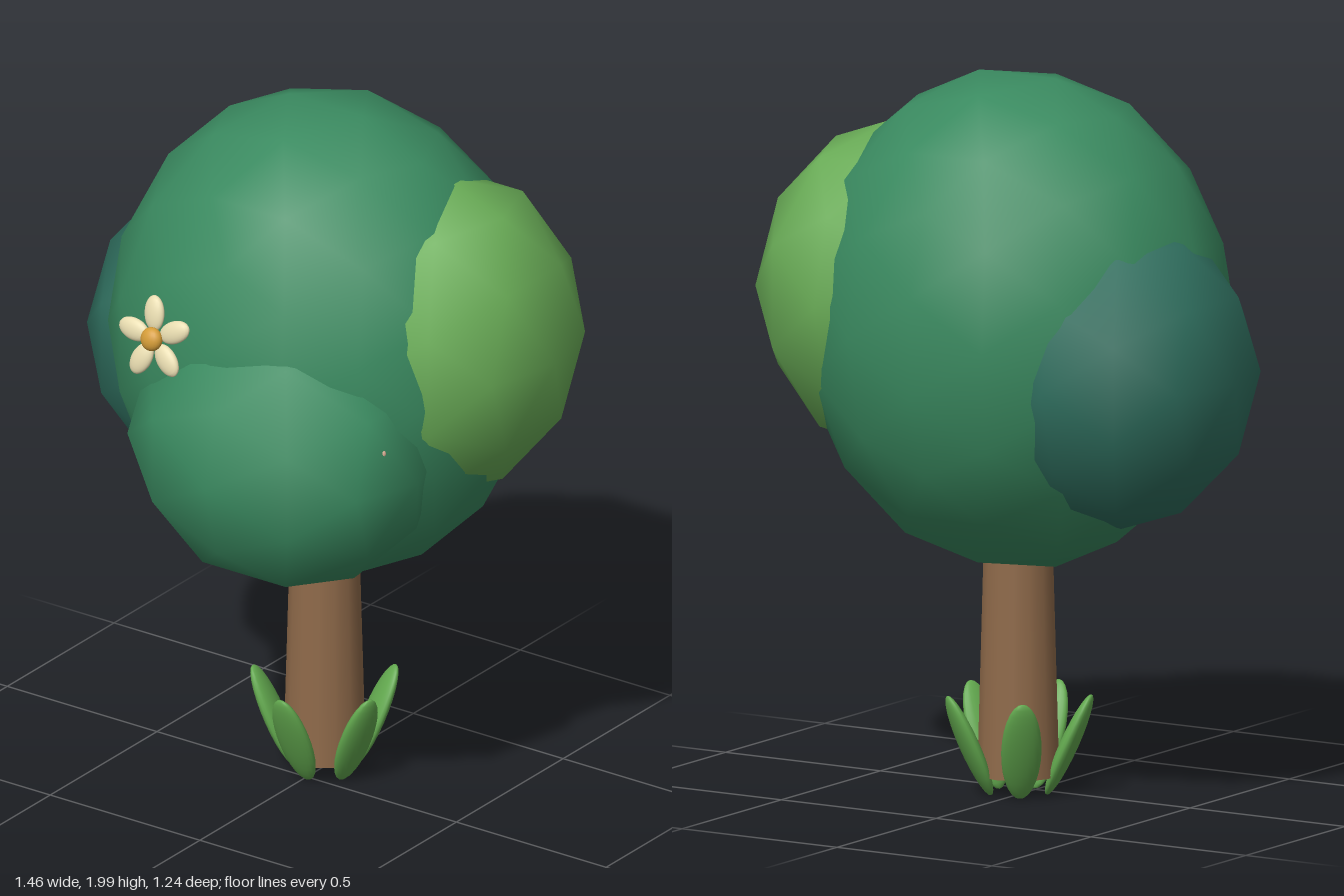
import * as THREE from 'three';

const paint = (name, color) => {
  const m = new THREE.MeshStandardMaterial({ color });
  m.name = name;
  return m;
};

export function createModel() {
  const mats = {
    crown: paint('crownGreen', 0x3a8a60),
    lime: paint('limeGreen', 0x6aad57),
    teal: paint('deepTeal', 0x2f6e5e),
    bark: paint('barkBrown', 0x8f6a4a),
    leaf: paint('leafGreen', 0x62a84e),
    petal: paint('petalCream', 0xe8dcb0),
    core: paint('flowerGold', 0xd49c38),
    bud: paint('budPink', 0xe2b49a),
  };
  const model = new THREE.Group();
  model.name = 'tree';

  const add = (parent, name, geometry, material, position, scale = [1, 1, 1]) => {
    const mesh = new THREE.Mesh(geometry, material);
    mesh.name = name;
    mesh.position.set(...position);
    mesh.scale.set(...scale);
    parent.add(mesh);
    return mesh;
  };

  // Foliage: smooth-shaded stretched icospheres
  const bigBlob = new THREE.IcosahedronGeometry(1, 2);
  const smallBlob = new THREE.IcosahedronGeometry(1, 1);
  add(model, 'mainCrown', bigBlob, mats.crown, [0.01, 1.322, -0.075], [0.61, 0.69, 0.556]);
  add(model, 'leftFoliage', smallBlob, mats.lime, [0.36, 1.39, -0.14], [0.37, 0.46, 0.414]);
  add(model, 'rightFoliage', smallBlob, mats.teal, [-0.36, 1.22, -0.13], [0.37, 0.435, 0.405]);
  add(model, 'frontFoliage', smallBlob, mats.crown, [0.1, 1.13, 0.25], [0.45, 0.4, 0.368]);

  // Trunk, tapering up into the crown
  add(model, 'trunk', new THREE.CylinderGeometry(0.089, 0.112, 0.84, 14), mats.bark, [0.01, 0.48, -0.07]);

  // Ring of five leaves leaning outward around the trunk
  const ball = new THREE.SphereGeometry(1, 20, 14);
  for (let i = 0; i < 5; i++) {
    const spoke = new THREE.Group();
    spoke.name = 'baseLeaf';
    spoke.position.set(0.01, 0.148, -0.07);
    spoke.rotation.y = (i * Math.PI * 2) / 5;
    const leaf = add(spoke, 'leafBlade', ball, mats.leaf, [0, 0, 0.143], [0.055, 0.155, 0.024]);
    leaf.rotation.x = 0.42;
    model.add(spoke);
  }

  // Flower on the front of the crown, leaning back slightly
  const flower = new THREE.Group();
  flower.name = 'flower';
  flower.position.set(-0.182, 1.447, 0.458);
  flower.rotation.x = -0.26;
  for (let i = 0; i < 5; i++) {
    const a = THREE.MathUtils.degToRad(100 + i * 72);
    const petal = add(flower, 'petal', ball, mats.petal,
      [Math.cos(a) * 0.07, Math.sin(a) * 0.07, 0], [0.05, 0.031, 0.016]);
    petal.rotation.z = a;
  }
  add(flower, 'flowerCentre', ball, mats.core, [0, 0, 0.014], [0.033, 0.033, 0.022]);
  model.add(flower);

  // Tiny bud peeking out of the front foliage
  add(model, 'bud', ball, mats.bud, [0.483, 1.235, 0.33], [0.016, 0.016, 0.012]);

  return model;
}
